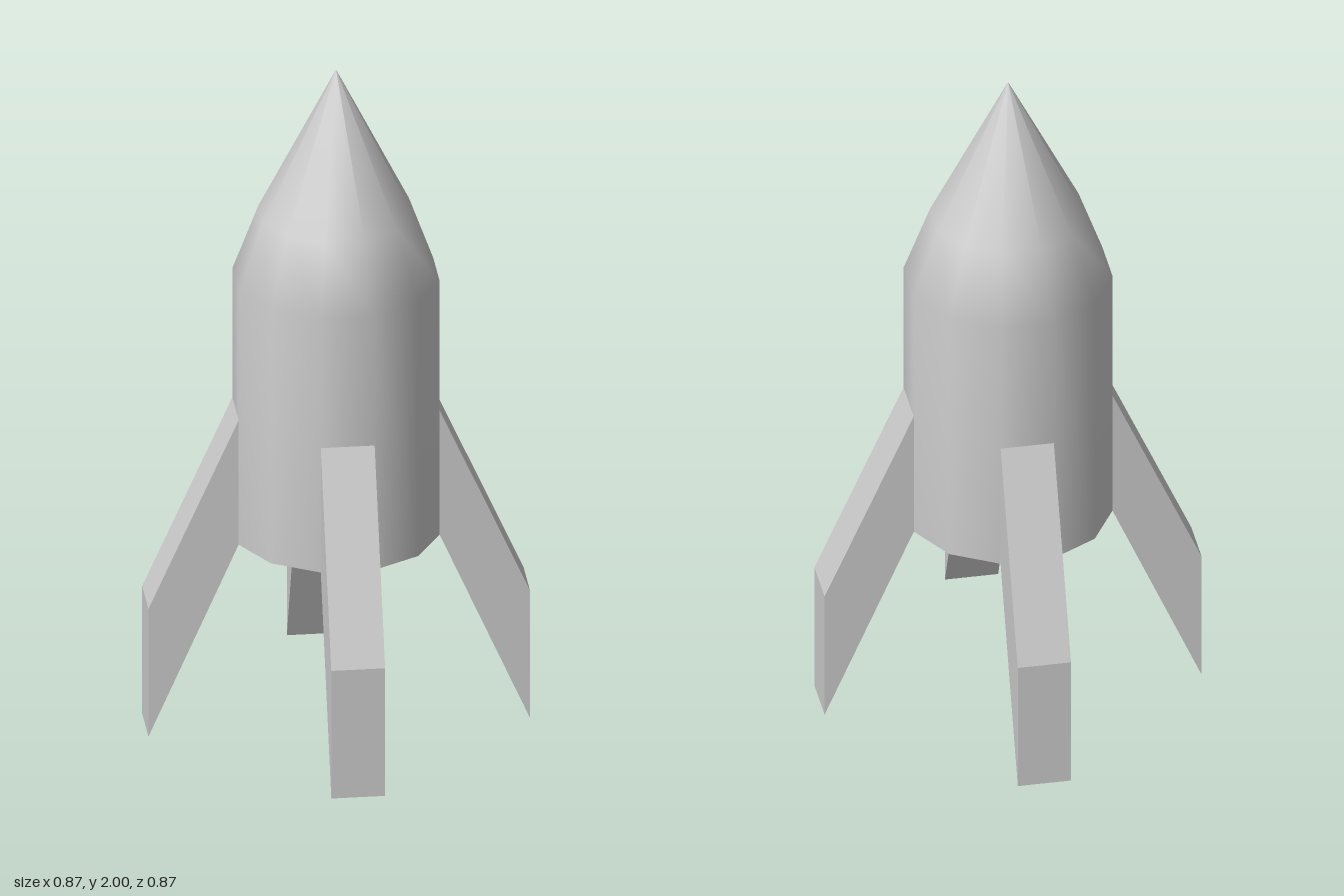
import * as THREE from 'three';

const SIDES = 12;
const RADIUS = 0.293;
const BASE_Y = 0.58;

export function createModel() {
  const model = new THREE.Group();
  model.name = 'rocket';
  const material = new THREE.MeshStandardMaterial({ color: 0xcccccc });

  const add = (name, geometry) => {
    const mesh = new THREE.Mesh(geometry, material);
    mesh.name = name;
    model.add(mesh);
    return mesh;
  };

  // Twelve-sided hull tapering to a pointed nose
  const profile = [[RADIUS, BASE_Y], [RADIUS, 1.365], [0.219, 1.565], [0, 2]]
    .map(([r, y]) => new THREE.Vector2(r, y));
  add('hull', new THREE.LatheGeometry(profile, SIDES));

  // Flat underside of the hull
  const base = new THREE.CircleGeometry(RADIUS, SIDES).rotateX(Math.PI / 2);
  add('hullBase', base).position.y = BASE_Y;

  // Swept fins, each as wide as the hull facet it grows from
  const width = 2 * RADIUS * Math.sin(Math.PI / SIDES);
  const inner = RADIUS * Math.cos(Math.PI / SIDES);
  const outer = 0.537;
  const outline = new THREE.Shape([
    new THREE.Vector2(inner, BASE_Y),
    new THREE.Vector2(outer, 0),
    new THREE.Vector2(outer, 0.395),
    new THREE.Vector2(inner, 0.965),
  ]);
  const finGeometry = new THREE.ExtrudeGeometry(outline, { depth: width, bevelEnabled: false });
  finGeometry.translate(0, 0, -width / 2);
  ['backLeftFin', 'backRightFin', 'frontRightFin', 'frontLeftFin'].forEach((name, i) => {
    add(name, finGeometry).rotation.y = Math.PI / 4 + (i * Math.PI) / 2;
  });

  return model;
}
